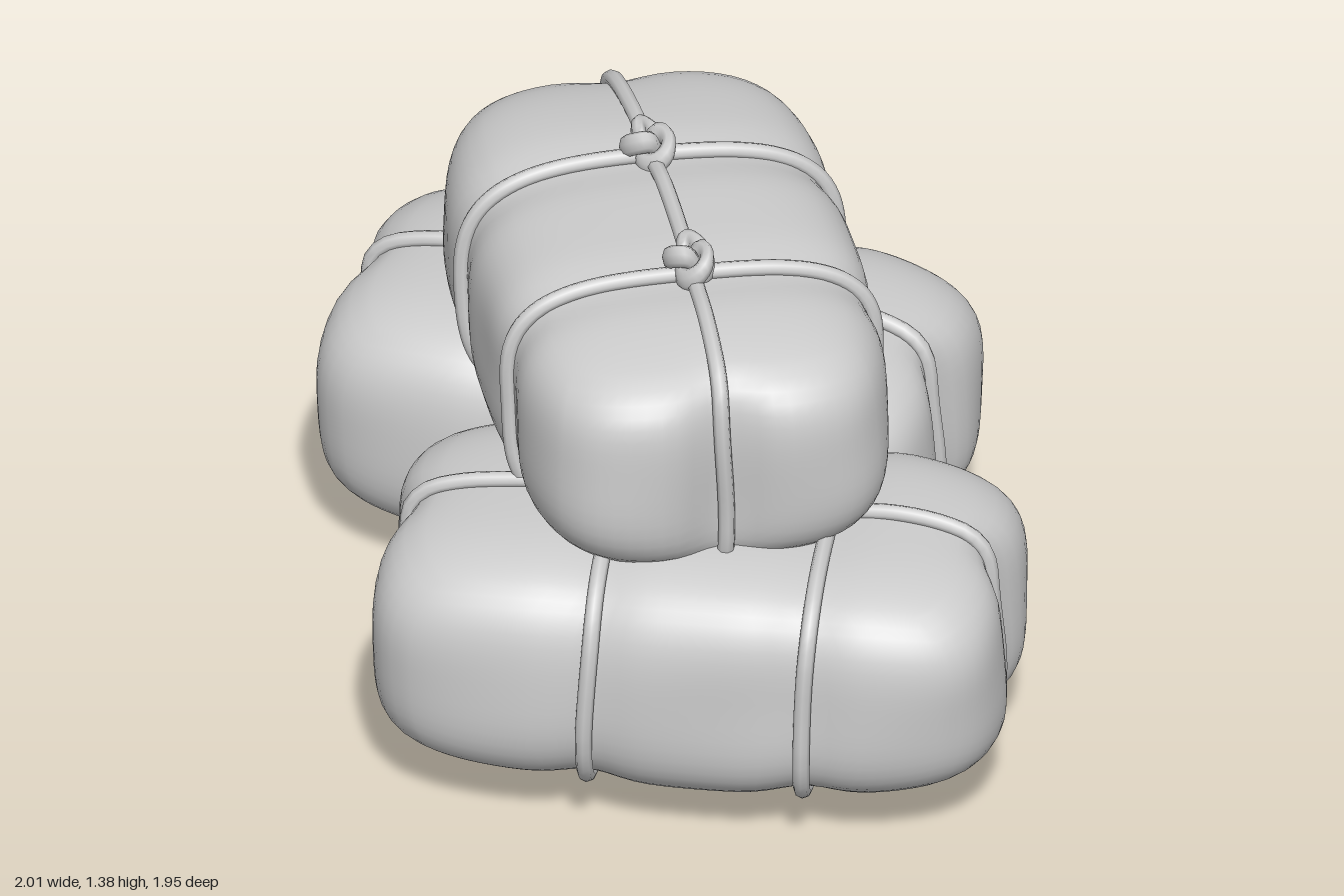
import * as THREE from 'three';
import { mergeVertices } from 'three/addons/utils/BufferGeometryUtils.js';

const HALF = new THREE.Vector3(0.782, 0.337, 0.476); // half length, height, width of a sack
const TIES = [-0.235, 0.3];                          // where the cross ropes sit along the length
const P = 3.4, Q = 4.8;                              // squareness of the section and of the ends
const ROPE = 0.021;

const material = new THREE.MeshStandardMaterial({ color: 0xcccccc, roughness: 0.8 });
const bell = (d, w) => Math.exp(-(d * d) / (w * w));

// Unit superellipsoid point in the direction of v
function onUnitSack(v) {
  const section = Math.pow(Math.abs(v.y) ** P + Math.abs(v.z) ** P, Q / P);
  return v.multiplyScalar(Math.pow(section + Math.abs(v.x) ** Q, -1 / Q));
}

// Unit point -> stuffed sack: bulged middle, slight taper, flatter knot side, dents under the ropes
function stuff(v) {
  const u = v.x;
  let pinch = 1 - 0.04 * u * u - 0.012 * u;
  for (const t of TIES) pinch -= 0.05 * bell(u * HALF.x - t - 0.015, 0.09);
  const lump = 0.01 * Math.sin(5 * u + 3 * v.z) * Math.cos(4 * v.y + 2 * u);
  const endDent = 0.08 * bell(v.z, 0.2) * Math.abs(u) ** 8;
  const flatten = (0.045 + 0.06 * u * u) * Math.max(v.y, 0);
  return v.set(
    u * HALF.x * (1 - endDent + lump),
    v.y * HALF.y * (pinch + lump - flatten),
    v.z * HALF.z * (pinch + lump)
  );
}

function sackGeometry() {
  const box = new THREE.BoxGeometry(2, 2, 2, 36, 18, 22);
  box.deleteAttribute('uv');
  box.deleteAttribute('normal');
  const geo = mergeVertices(box);
  const pos = geo.attributes.position;
  const v = new THREE.Vector3();
  for (let i = 0; i < pos.count; i++) {
    stuff(onUnitSack(v.fromBufferAttribute(pos, i)));
    pos.setXYZ(i, v.x, v.y, v.z);
  }
  geo.computeVertexNormals();
  return geo;
}

function ropeGeometry(points) {
  return new THREE.TubeGeometry(new THREE.CatmullRomCurve3(points, true), 120, ROPE, 8, true);
}

// Rope around the girth at length position x, leaning away from its knot
function crossRope(x) {
  const points = [];
  for (let i = 0; i < 40; i++) {
    const a = (i / 40) * Math.PI * 2, c = Math.cos(a), d = Math.sin(a);
    const u = (x + 0.016 * (1 - c) - 0.006 * d) / HALF.x;
    const s = Math.pow(1 - Math.abs(u) ** Q, 1 / Q);
    const k = s * Math.pow(Math.abs(c) ** P + Math.abs(d) ** P, -1 / P);
    const p = stuff(new THREE.Vector3(u, c * k, d * k));
    p.y += c * 0.012;
    p.z += d * 0.012;
    points.push(p);
  }
  return ropeGeometry(points);
}

// Rope running lengthwise over both ends
function longRope() {
  const points = [];
  for (let i = 0; i < 56; i++) {
    const a = (i / 56) * Math.PI * 2;
    const p = stuff(onUnitSack(new THREE.Vector3(Math.cos(a), Math.sin(a), 0)));
    p.x += Math.cos(a) * 0.012;
    p.y += Math.sin(a) * 0.012;
    p.z += 0.008 * Math.sin(a * 3);
    points.push(p);
  }
  return ropeGeometry(points);
}

export function createModel() {
  const model = new THREE.Group();
  model.name = 'tiedSackPile';

  const sack = sackGeometry();
  const lengthwise = longRope();
  const girths = TIES.map(crossRope);
  const knot = new THREE.TorusKnotGeometry(0.036, 0.018, 64, 8, 2, 3)
    .rotateX(Math.PI / 2).scale(1.15, 1.7, 0.95);

  function bundle(name, x, y, z, yaw, upsideDown) {
    const group = new THREE.Group();
    group.name = name;
    const add = (geometry, part) => {
      const mesh = new THREE.Mesh(geometry, material);
      mesh.name = part;
      group.add(mesh);
      return mesh;
    };
    add(sack, 'sack');
    add(lengthwise, 'lengthwiseRope');
    TIES.forEach((t, i) => {
      add(girths[i], 'crossRope');
      const k = add(knot, 'knot');
      k.position.set(t, HALF.y + 0.01, 0);
      k.rotation.y = 0.5 - i * 0.3;
    });
    group.position.set(x, y, z);
    group.rotation.set(upsideDown ? Math.PI : 0, yaw, 0, 'YXZ');
    model.add(group);
  }

  // Two sacks lie knots down, the third rests across them knots up
  bundle('backBundle', -0.228, 0.42, -0.49, 0, true);
  bundle('frontBundle', 0.197, 0.42, 0.437, 0.16, true);
  bundle('topBundle', -0.023, 0.982, 0.017, -1.068, false);

  return model;
}
